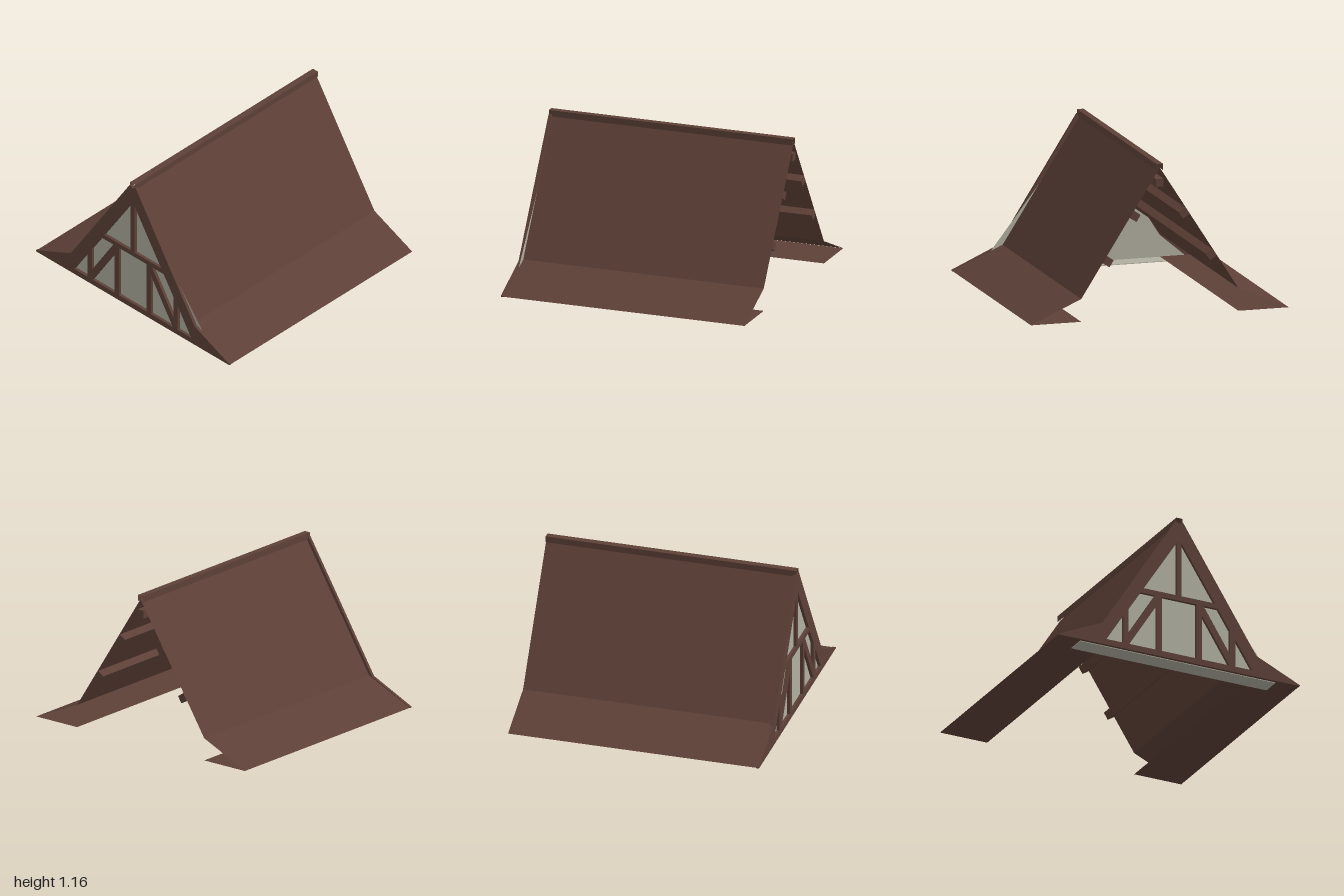
import * as THREE from 'three';

const BACK = -0.968, FRONT = 0.968, WALL_Z = 0.943;

// Sweep an open x/y profile along z into flat faces
function strip(profile, z0, z1) {
  const pos = [];
  for (let i = 0; i < profile.length - 1; i++) {
    const [ax, ay] = profile[i], [bx, by] = profile[i + 1];
    pos.push(ax, ay, z0, ax, ay, z1, bx, by, z1, ax, ay, z0, bx, by, z1, bx, by, z0);
  }
  const g = new THREE.BufferGeometry();
  g.setAttribute('position', new THREE.Float32BufferAttribute(pos, 3));
  g.computeVertexNormals();
  return g;
}

const points = (list, side = 1) => list.map(([x, y]) => new THREE.Vector2(x * side, y));

export function createModel() {
  const group = new THREE.Group();
  const timber = new THREE.MeshStandardMaterial({ color: 0x5d4037, side: THREE.DoubleSide });
  timber.name = 'dark brown timber';
  const plaster = new THREE.MeshStandardMaterial({ color: 0xb0ae9f, side: THREE.DoubleSide });
  plaster.name = 'grey plaster';

  function add(name, geometry, material) {
    const mesh = new THREE.Mesh(geometry, material);
    mesh.name = name;
    group.add(mesh);
    return mesh;
  }

  // Thin roof: steep slopes with flared eaves
  add('roof', strip([[-1, 0.008], [-0.61, 0.18], [0, 1.135], [0.61, 0.18], [1, 0.008]], BACK, FRONT - 0.02), timber);

  // Ridge cap, open at both ends
  add('ridgeCap', strip([[-0.025, 1.115], [-0.025, 1.163], [0.025, 1.163], [0.025, 1.115]], BACK, FRONT), timber);

  // Flat soffits under the eaves
  for (const s of [-1, 1]) {
    add(s > 0 ? 'leftSoffit' : 'rightSoffit', strip([[s * 0.61, 0.007], [s, 0.007]], BACK, WALL_Z), timber);
  }

  // Gable wall panel, with its left edge running straight past the eave kink
  const wall = new THREE.Shape(points([[-0.81, 0], [0.81, 0], [0.33, 0.62], [0, 1.12], [-0.61, 0.17]]));
  add('gableWall', new THREE.ShapeGeometry(wall), plaster).position.z = WALL_Z;

  // Sill under the wall
  const sill = add('wallSill', new THREE.BoxGeometry(1.62, 0.005, 0.145), plaster);
  sill.position.set(0, 0.0025, WALL_Z - 0.0725);

  // Half-timbered front frame with openings
  const half = [[1, 0.004], [1, 0.012], [0.64, 0.175], [0.03, 1.135]];
  const mirrored = half.map(([x, y]) => [-x, y]).reverse();
  const frame = new THREE.Shape(points([...half, [0, 1.118], ...mirrored]));
  const openings = [
    [[0.02, 0.96], [0.02, 0.53], [0.295, 0.53]],
    [[0.32, 0.49], [0.2, 0.49], [0.42, 0.14], [0.42, 0.335]],
    [[0.188, 0.41], [0.188, 0.05], [0.415, 0.05]],
    [[0.465, 0.27], [0.465, 0.05], [0.605, 0.05]],
  ];
  for (const s of [-1, 1]) {
    for (const o of openings) frame.holes.push(new THREE.Path(points(o, s)));
  }
  frame.holes.push(new THREE.Path(points([[-0.142, 0.05], [0.142, 0.05], [0.142, 0.49], [-0.142, 0.49]])));
  const frameGeometry = new THREE.ExtrudeGeometry(frame, { depth: 0.023, bevelEnabled: false });
  add('frontFrame', frameGeometry, timber).position.z = FRONT - 0.023;

  // Purlins below the slopes and a beam below the ridge
  const length = WALL_Z - 0.005 - BACK;
  const beam = (name, x, y, angle) => {
    const mesh = add(name, new THREE.BoxGeometry(0.06, 0.06, length), timber);
    mesh.position.set(x, y, BACK + length / 2);
    mesh.rotation.z = angle;
  };
  for (const s of [-1, 1]) {
    beam('lowerPurlin', s * 0.4, 0.447, -s * 1.002);
    beam('upperPurlin', s * 0.19, 0.776, -s * 1.002);
  }
  beam('ridgeBeam', 0, 1.02, 0);

  return group;
}
